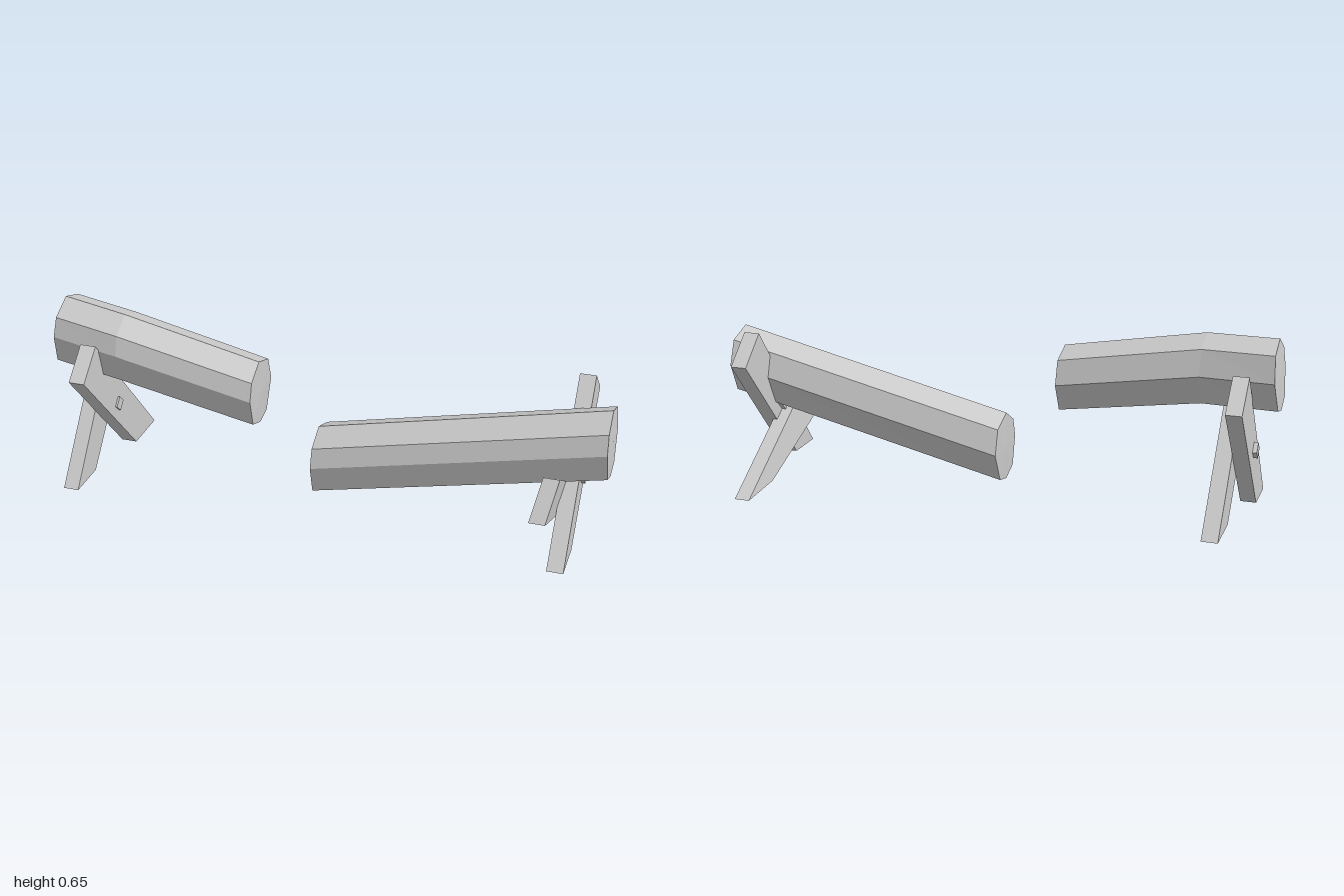
import * as THREE from 'three';

const material = new THREE.MeshStandardMaterial({ color: 0xcccccc, flatShading: true });

// Irregular eight-sided log section as [z, y] offsets, clockwise seen from +x
const SECTION = [
  [0.012, 0.123], [-0.086, 0.089], [-0.114, 0.001], [-0.059, -0.106],
  [0.012, -0.123], [0.087, -0.096], [0.114, 0.007], [0.093, 0.075],
];

function addMesh(group, name, geometry) {
  const mesh = new THREE.Mesh(geometry, material);
  mesh.name = name;
  group.add(mesh);
}

// Log swept through stations { x, y, z, scale, tilt } running towards +x
function logGeometry(stations) {
  const n = SECTION.length;
  const points = [];
  const index = [];
  for (const { x, y, z, scale = 1, tilt = 0 } of stations) {
    for (const [dz, dy] of SECTION) points.push(x + tilt * dy, y + dy * scale, z + dz * scale);
  }
  const last = stations.length - 1;
  const first = stations[0], end = stations[last];
  points.push(first.x - 0.003, first.y, first.z, end.x + 0.003, end.y, end.z);
  const startCentre = n * stations.length;
  for (let i = 0; i < n; i++) {
    const j = (i + 1) % n;
    for (let s = 0; s < last; s++) {
      const a = s * n + i, b = a + n, c = s * n + j, d = c + n;
      index.push(a, b, c, b, d, c);
    }
    index.push(startCentre, i, j);
    index.push(startCentre + 1, last * n + j, last * n + i);
  }
  const geometry = new THREE.BufferGeometry();
  geometry.setAttribute('position', new THREE.Float32BufferAttribute(points, 3));
  geometry.setIndex(index);
  const flat = geometry.toNonIndexed();
  flat.computeVertexNormals();
  return flat;
}

// Plank with a [z, y] outline, occupying x0..x1
function plankGeometry(outline, x0, x1) {
  const shape = new THREE.Shape(outline.map(([z, y]) => new THREE.Vector2(z, y)));
  const geometry = new THREE.ExtrudeGeometry(shape, { depth: x1 - x0, bevelEnabled: false });
  return geometry.rotateY(-Math.PI / 2).translate(x1, 0, 0);
}

// Square peg set on its corner, running along x
function pegGeometry(x0, x1) {
  const geometry = new THREE.BoxGeometry(x1 - x0, 0.04, 0.04);
  return geometry.rotateX(Math.PI / 4).translate((x0 + x1) / 2, 0.255, 0.04);
}

export function createModel() {
  const group = new THREE.Group();
  group.name = 'brokenLogBarrier';

  // Two halves of the broken log
  addMesh(group, 'shortLog', logGeometry([
    { x: -0.99, y: 0.53, z: 0.018, tilt: 0.07 },
    { x: -0.73, y: 0.517, z: 0.071 },
    { x: -0.225, y: 0.429, z: 0.1, scale: 0.95 },
  ]));
  addMesh(group, 'longLog', logGeometry([
    { x: -0.03, y: 0.172, z: 0.04 },
    { x: 0.99, y: 0.408, z: 0.052, tilt: -0.04 },
  ]));

  // Crossed support planks
  const backLeaning = [[0.3, 0.025], [0.15, 0.025], [-0.235, 0.457], [-0.12, 0.555]];
  const frontLeaning = [[-0.262, 0.025], [-0.088, 0.025], [0.3, 0.46], [0.19, 0.555]];
  addMesh(group, 'rightOuterPlank', plankGeometry(backLeaning, -0.912, -0.857));
  addMesh(group, 'rightInnerPlank', plankGeometry(frontLeaning, -0.857, -0.8));
  addMesh(group, 'leftStandingPlank', plankGeometry(backLeaning, 0.84, 0.897));

  // Fallen plank, skewed sideways as it leans on its neighbour
  const fallen = plankGeometry([[0.335, 0.222], [0.25, 0.35], [-0.335, 0.002], [-0.165, 0.02]], 0.772, 0.827);
  const p = fallen.attributes.position;
  for (let i = 0; i < p.count; i++) {
    p.setX(i, p.getX(i) - 0.083 * p.getZ(i) + 0.14 * p.getY(i));
  }
  fallen.computeVertexNormals();
  addMesh(group, 'leftFallenPlank', fallen);

  // Pegs through the crossings
  addMesh(group, 'rightPeg', pegGeometry(-0.927, -0.793));
  addMesh(group, 'leftPeg', pegGeometry(0.825, 0.91));

  return group;
}
